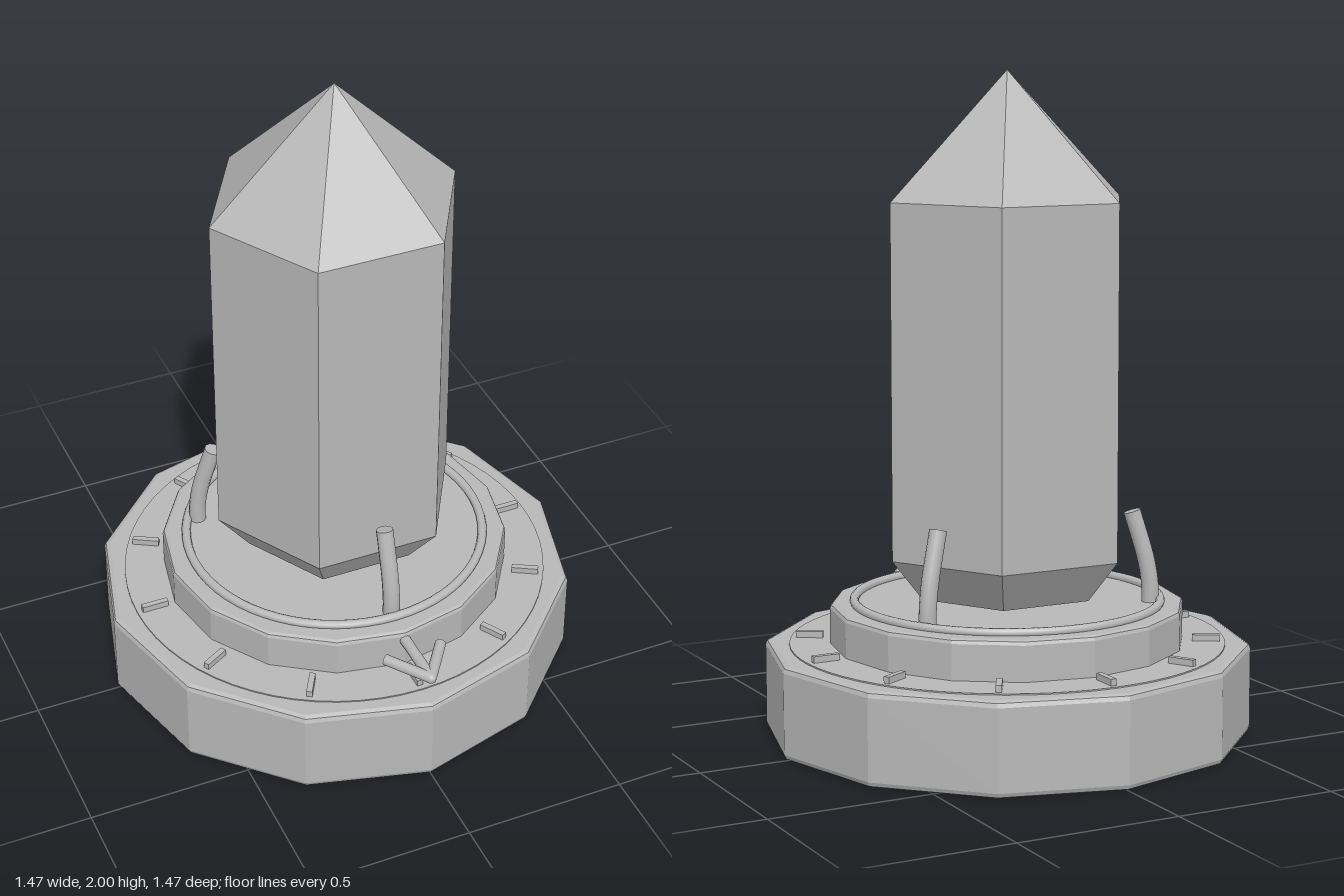
import * as THREE from 'three';

export function createModel() {
  const model = new THREE.Group();
  model.name = 'crystalPedestal';
  const stone = new THREE.MeshStandardMaterial({ color: 0xb8b8b8 });
  stone.name = 'grey';
  const facet = new THREE.MeshStandardMaterial({ color: 0xb8b8b8, flatShading: true });
  facet.name = 'facetedGrey';

  const add = (name, geometry, material = stone, parent = model) => {
    const mesh = new THREE.Mesh(geometry, material);
    mesh.name = name;
    parent.add(mesh);
    return mesh;
  };
  const lathe = (points, sides) =>
    new THREE.LatheGeometry(points.map(([r, y]) => new THREE.Vector2(r, y)), sides);
  // Many-sided drum with bevelled rims
  const drum = (r, y0, y1, b, sides) => lathe([
    [0, y0], [r - b, y0], [r - b * 0.3, y0 + b * 0.3], [r, y0 + b],
    [r, y1 - b], [r - b * 0.3, y1 - b * 0.3], [r - b, y1], [0, y1],
  ], sides);
  // Straight round bar between two points
  const bar = (a, b, r) => new THREE.TubeGeometry(new THREE.LineCurve3(a, b), 1, r, 12);

  // Two-step pedestal
  add('base', drum(0.737, 0, 0.28, 0.018, 12), facet);
  add('upperDrum', drum(0.537, 0.27, 0.405, 0.014, 16), facet);
  const dial = add('dialPlate', new THREE.CylinderGeometry(0.66, 0.66, 0.008, 64));
  dial.position.y = 0.28;
  const ring = add('rimRing', new THREE.TorusGeometry(0.463, 0.014, 10, 64));
  ring.rotation.x = Math.PI / 2;
  ring.position.y = 0.411;

  // Dial marks around the lower step
  for (let i = 0; i < 12; i++) {
    const mark = add('dialMark', new THREE.BoxGeometry(0.018, 0.025, 0.083));
    const a = (i * Math.PI) / 6;
    mark.position.set(Math.sin(a) * 0.602, 0.291, Math.cos(a) * 0.602);
    mark.rotation.y = a;
  }

  // Floating six-sided crystal
  const crystal = add('crystal', lathe([
    [0, 0.435], [0.285, 0.435], [0.384, 0.56], [0.384, 1.62], [0, 2],
  ], 6), facet);
  crystal.rotation.y = Math.PI / 2;

  // Three bent prongs
  const bend = new THREE.CatmullRomCurve3([
    new THREE.Vector3(0, 0.4, 0.432), new THREE.Vector3(0, 0.45, 0.432),
    new THREE.Vector3(0, 0.53, 0.42), new THREE.Vector3(0, 0.682, 0.376),
  ]);
  for (let i = 0; i < 3; i++) {
    const prong = new THREE.Group();
    prong.name = 'prong';
    add('prongBar', new THREE.TubeGeometry(bend, 16, 0.026, 12), stone, prong);
    const cap = add('prongEnd', new THREE.CircleGeometry(0.026, 12), stone, prong);
    cap.position.set(0, 0.682, 0.376);
    cap.lookAt(cap.position.clone().add(bend.getTangent(1)));
    prong.rotation.y = (i * Math.PI * 2) / 3;
    model.add(prong);
  }

  // Arrow pointing forward
  const arrow = new THREE.Group();
  arrow.name = 'arrow';
  const tip = new THREE.Vector3(0, 0.375, 0.716);
  [[0, 0.5], [-0.09, 0.59], [0.09, 0.59]].forEach(([x, z]) => {
    const end = new THREE.Vector3(x, 0.375, z);
    add(x ? 'arrowBarb' : 'arrowShaft', bar(end, tip, 0.017), stone, arrow);
    const cap = add('arrowBarEnd', new THREE.CircleGeometry(0.017, 12), stone, arrow);
    cap.position.copy(end);
    cap.lookAt(end.clone().multiplyScalar(2).sub(tip));
  });
  add('arrowTip', new THREE.SphereGeometry(0.017, 12, 8), stone, arrow).position.copy(tip);
  model.add(arrow);

  return model;
}
